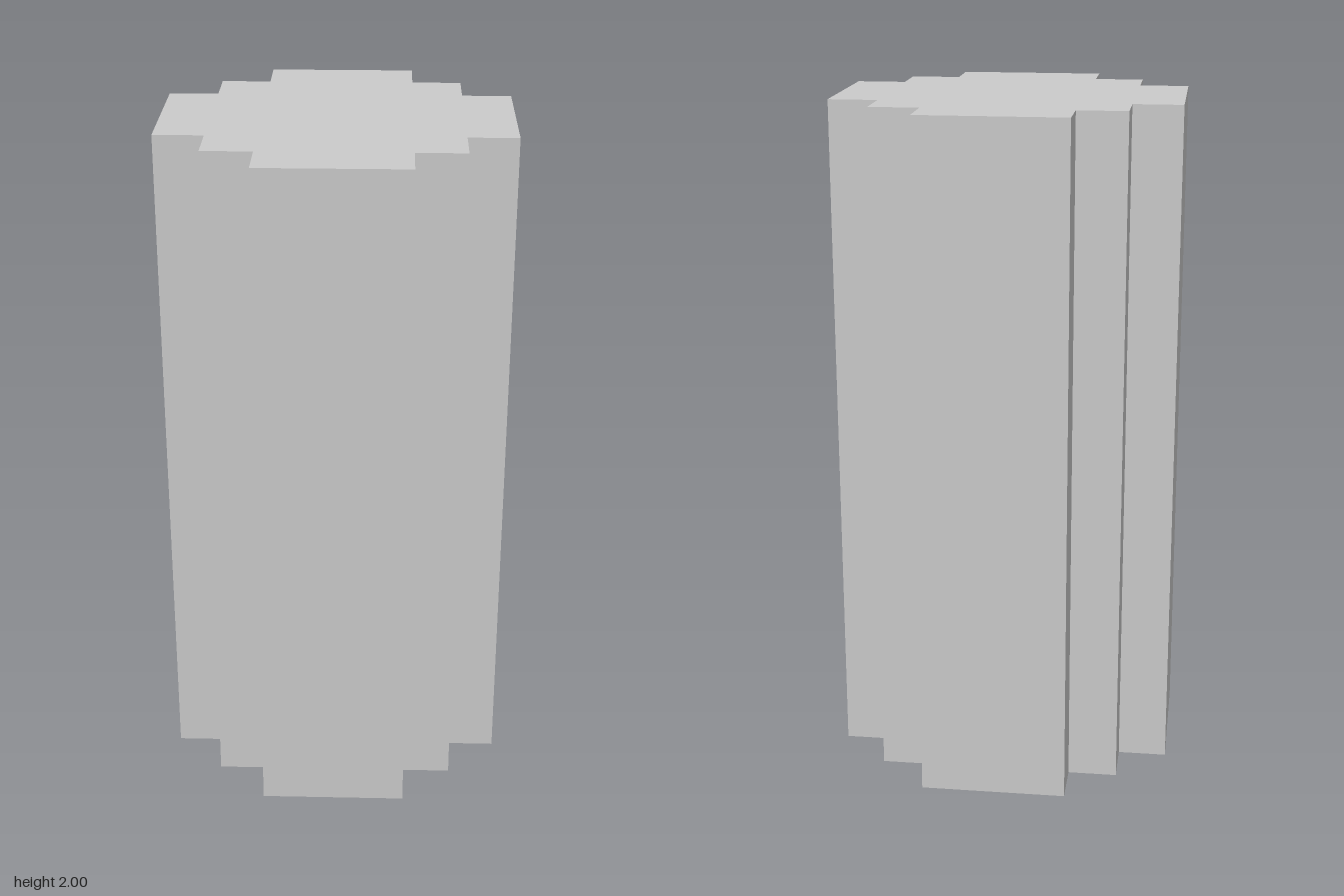
import * as THREE from 'three';

// Half-widths of the stepped cross-section
const OUTER = 0.5, MIDDLE = 0.357, INNER = 0.213;
const HEIGHT = 2;

// One stepped corner, turned four times around the axis
function steppedCross() {
  const corner = [[OUTER, INNER], [MIDDLE, INNER], [MIDDLE, MIDDLE], [INNER, MIDDLE], [INNER, OUTER]];
  const points = [];
  for (let quarter = 0; quarter < 4; quarter++) {
    for (const [x, y] of corner) {
      points.push(new THREE.Vector2(x, y).rotateAround(new THREE.Vector2(), quarter * Math.PI / 2));
    }
  }
  return new THREE.Shape(points);
}

export function createModel() {
  const group = new THREE.Group();
  group.name = 'steppedColumn';

  // Column shaft, extruded upright from the ground
  const geometry = new THREE.ExtrudeGeometry(steppedCross(), { depth: HEIGHT, bevelEnabled: false });
  geometry.rotateX(-Math.PI / 2);
  const shaft = new THREE.Mesh(geometry, new THREE.MeshStandardMaterial({ color: 0xcccccc, flatShading: true }));
  shaft.name = 'columnShaft';
  group.add(shaft);

  return group;
}
